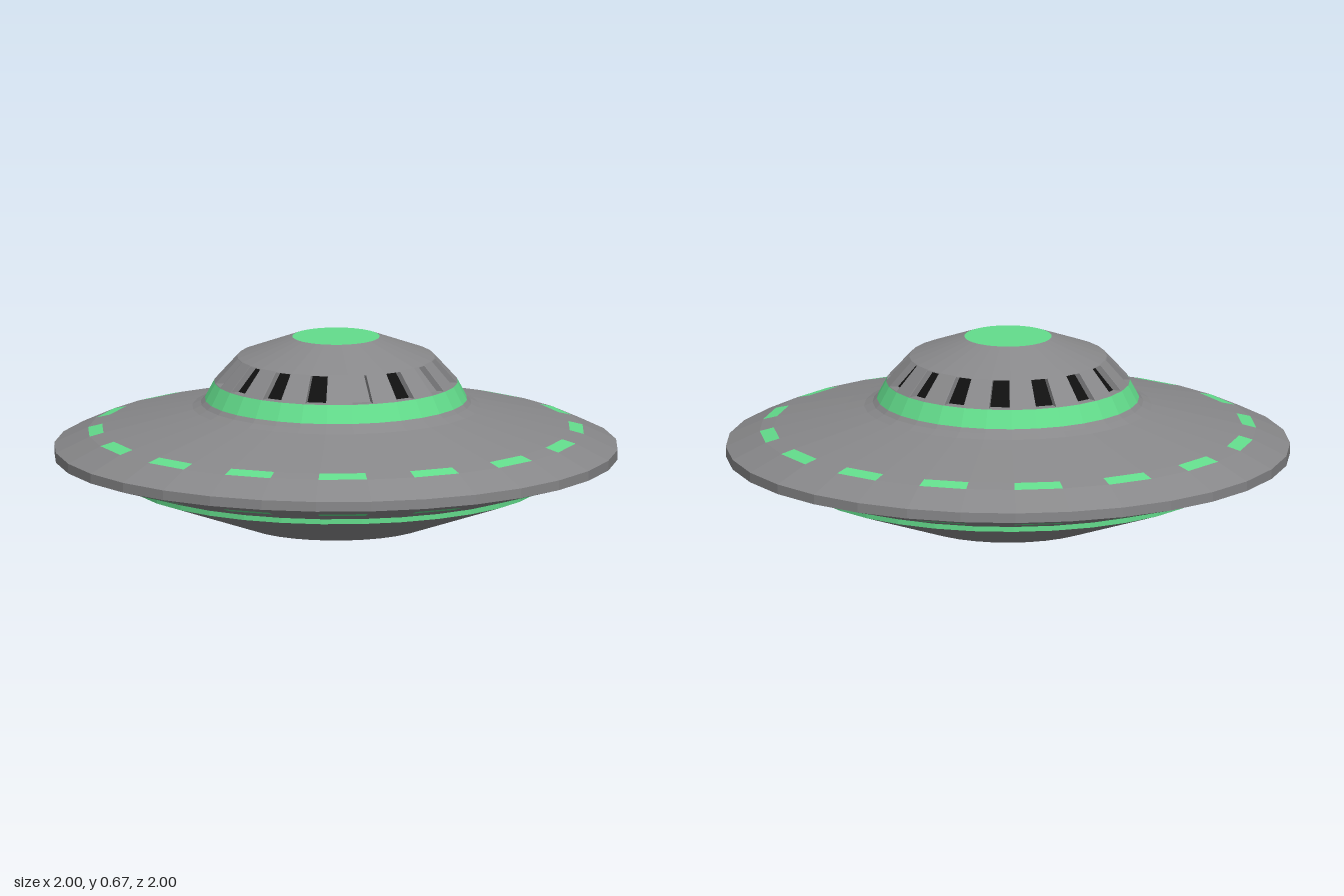
import * as THREE from 'three';
import { mergeGeometries } from 'three/addons/utils/BufferGeometryUtils.js';

const SIDES = 32;
const STEP = (Math.PI * 2) / SIDES;

export function createModel() {
  const ship = new THREE.Group();
  ship.name = 'flyingSaucer';

  const material = (name, color) => {
    const m = new THREE.MeshStandardMaterial({ color, flatShading: true });
    m.name = name;
    return m;
  };
  const hull = material('hullGrey', 0x88888a);
  const glow = material('glowGreen', 0x63dd8c);
  const dark = material('windowBlack', 0x101010);

  const add = (name, geometry, mat) => {
    const mesh = new THREE.Mesh(geometry, mat);
    mesh.name = name;
    ship.add(mesh);
  };

  // Turned surface from [radius, height] pairs; running upwards faces outwards
  const turned = (points, first = 0, count = SIDES) =>
    new THREE.LatheGeometry(points.map(([r, y]) => new THREE.Vector2(r, y)), count, first * STEP, count * STEP);

  // Ring whose odd facets are lights and even facets are hull
  const lightRing = (name, points) => {
    const facets = [[], []];
    for (let i = 0; i < SIDES; i++) facets[i % 2].push(turned(points, i, 1));
    add(name + 'Panels', mergeGeometries(facets[0]), hull);
    add(name + 'Lights', mergeGeometries(facets[1]), glow);
  };

  // Underside with its open shaft
  add('shaftCeiling', turned([[0, 0.22], [0.33, 0.22]]), hull);
  add('shaftWall', turned([[0.33, 0.22], [0.33, 0]]), glow);
  add('lowerHull', turned([[0.33, 0], [0.73, 0.14]]), hull);
  add('lowerGlowBand', turned([[0.73, 0.14], [0.73, 0.158]]), glow);
  add('underside', turned([[0.73, 0.158], [0.845, 0.193]]), hull);
  lightRing('underside', [[0.845, 0.193], [0.9, 0.21]]);

  // Rim and upper disc
  add('rim', turned([[0.9, 0.21], [1, 0.24], [1, 0.275], [0.88, 0.331]]), hull);
  lightRing('upper', [[0.88, 0.331], [0.83, 0.344]]);
  add('upperDisc', turned([[0.83, 0.344], [0.58, 0.403], [0.51, 0.42], [0.48, 0.434], [0.465, 0.448]]), hull);

  // Dome
  add('domeGlowBand', turned([[0.465, 0.448], [0.432, 0.51]]), glow);
  add('domeRoof', turned([[0.35, 0.6], [0.155, 0.672]]), hull);
  add('domeCap', turned([[0.155, 0.672], [0, 0.672]]), glow);

  // Window band: every even facet holds a recessed window
  const wall = [], glass = [], shuttered = [3, 4, 1, 13];
  // Point on facet i: u across, t up, depth inwards
  const at = (i, u, t, depth = 0) => {
    const r = THREE.MathUtils.lerp(0.432, 0.35, t) - depth;
    const a = i * STEP, b = a + STEP;
    return [
      r * THREE.MathUtils.lerp(Math.sin(a), Math.sin(b), u),
      THREE.MathUtils.lerp(0.51, 0.6, t),
      r * THREE.MathUtils.lerp(Math.cos(a), Math.cos(b), u),
    ];
  };
  // Corners run counter-clockwise as seen
  const quad = (list, a, b, c, d) => list.push(...a, ...b, ...c, ...a, ...c, ...d);
  const panel = (list, i, u0, u1, t0, t1, depth = 0) =>
    quad(list, at(i, u0, t0, depth), at(i, u1, t0, depth), at(i, u1, t1, depth), at(i, u0, t1, depth));

  const L = 0.06, R = 0.94, B = 0.02, T = 0.97, D = 0.03;
  for (let i = 0; i < SIDES; i++) {
    if (i % 2) {
      panel(wall, i, 0, 1, 0, 1);
      continue;
    }
    // Frame
    panel(wall, i, 0, L, 0, 1);
    panel(wall, i, R, 1, 0, 1);
    panel(wall, i, L, R, 0, B);
    panel(wall, i, L, R, T, 1);
    // Sill, lintel and jambs
    quad(wall, at(i, L, B), at(i, R, B), at(i, R, B, D), at(i, L, B, D));
    quad(wall, at(i, L, T, D), at(i, R, T, D), at(i, R, T), at(i, L, T));
    quad(wall, at(i, L, B), at(i, L, B, D), at(i, L, T, D), at(i, L, T));
    quad(wall, at(i, R, B, D), at(i, R, B), at(i, R, T), at(i, R, T, D));
    // Pane, grey where the window is shuttered
    panel(shuttered.includes(i / 2) ? wall : glass, i, L, R, B, T, D);
  }
  const fromTriangles = (list) => {
    const g = new THREE.BufferGeometry();
    g.setAttribute('position', new THREE.Float32BufferAttribute(list, 3));
    g.computeVertexNormals();
    return g;
  };
  add('windowFrames', fromTriangles(wall), hull);
  add('windowPanes', fromTriangles(glass), dark);

  return ship;
}
